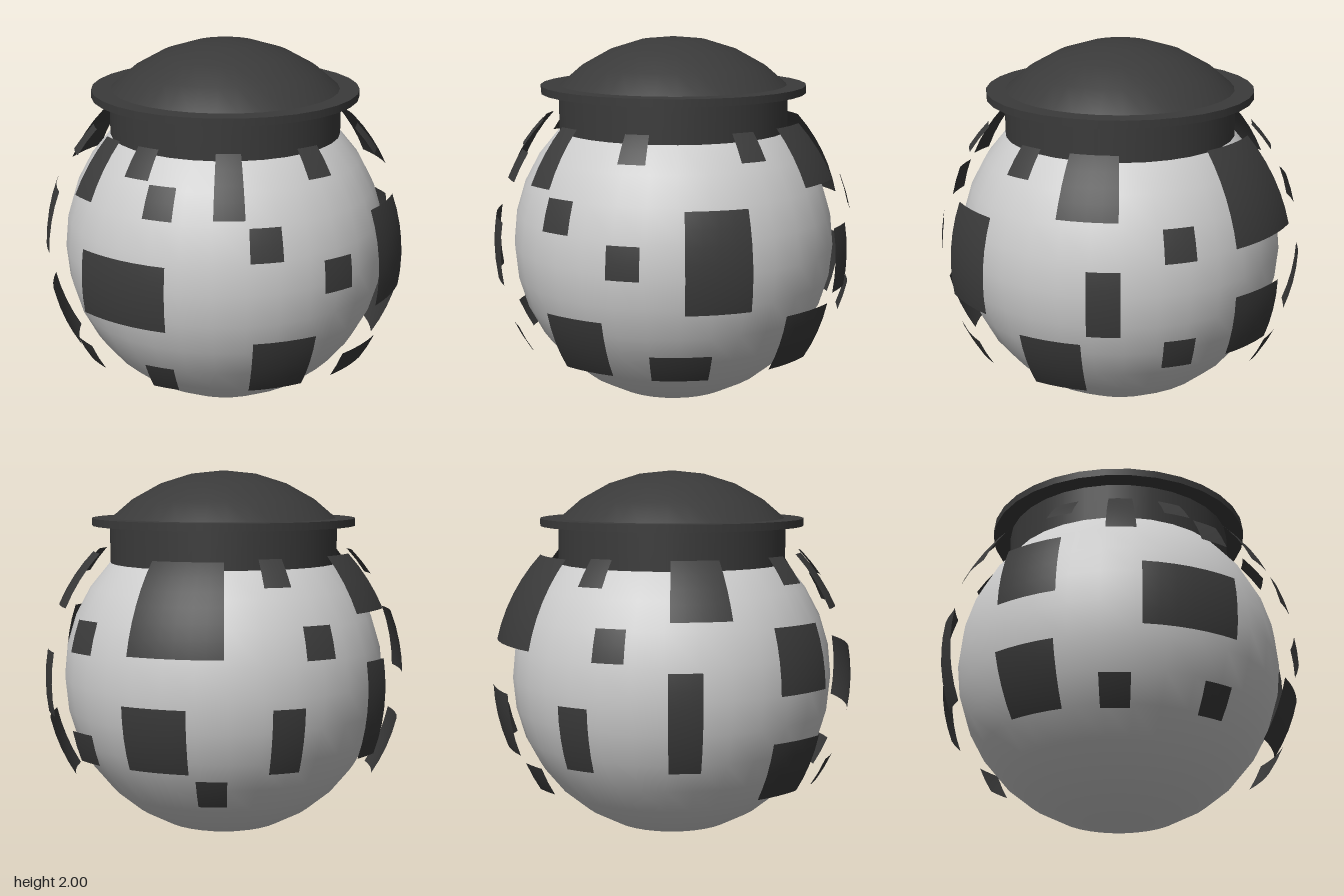
import * as THREE from 'three';

const RAD = Math.PI / 180;
const CENTER_Y = 0.882, BODY_R = 0.878, PATCH_R = 0.985;

// Floating patches: [longitude start, end, latitude top, bottom] in degrees;
// longitude runs from the front (+z) towards +x.
const PATCHES = [
  // front
  [-66, -36, 10, -10], [-22, -12, 44, 24], [-56, -46, 44, 34], [-45, -35, 33, 23],
  [-11, -1, 21.8, 11.8], [12, 22, 10.4, 0.4], [35, 55, 20.5, -9.6], [-10, 10, -13, -33],
  [24, 44, -23.8, -33.8], [-45, -35, -23.8, -33.8], [12, 22, 44, 34], [56, 66, 44, 34],
  // +x side
  [113, 123, 21.8, 11.8], [113, 123, -12.2, -22.2], [90, 100, 10, -10],
  [68, 88, -13, -33], [79.5, 99.5, 44, 24],
  // back
  [137, 167, 43, 12.8], [136, 156, -1.6, -21.6], [158, 168, -23.8, -33.8],
  [181, 191, -1.6, -21.6], [192, 202, 21.8, 11.8], [181, 191, 44, 34],
  // -x side
  [215.5, 235.5, 44, 24], [215, 225, 9.5, -20.5], [249.5, 269, 21.2, 1.2],
  [260, 270, 44, 34], [283, 293, 44, 24], [248, 268, -13, -33], [281, 291, -23.8, -33.8],
];

export function createModel() {
  const model = new THREE.Group();
  model.name = 'lampPot';
  const grey = new THREE.MeshStandardMaterial({ color: 0xcccccc });
  const dark = new THREE.MeshStandardMaterial({ color: 0x3a3a3a });
  const darkThin = new THREE.MeshStandardMaterial({ color: 0x3a3a3a, side: THREE.DoubleSide });

  const add = (parent, name, geometry, material, y) => {
    const mesh = new THREE.Mesh(geometry, material);
    mesh.name = name;
    mesh.position.y = y;
    parent.add(mesh);
    return mesh;
  };

  // Round body
  add(model, 'body', new THREE.SphereGeometry(BODY_R, 32, 16), grey, CENTER_Y);

  // Thin curved patches hovering around the body
  const patches = new THREE.Group();
  patches.name = 'patches';
  model.add(patches);
  for (const [lon0, lon1, top, bottom] of PATCHES) {
    const across = Math.max(2, Math.round((lon1 - lon0) / 5));
    const down = Math.max(2, Math.round((top - bottom) / 5));
    const shell = new THREE.SphereGeometry(PATCH_R, across, down,
      (lon0 + 90) * RAD, (lon1 - lon0) * RAD, (90 - top) * RAD, (top - bottom) * RAD);
    add(patches, 'patch', shell, darkThin, CENTER_Y);
  }

  // Lid: collar, brim and shallow dome
  const lid = new THREE.Group();
  lid.name = 'lid';
  model.add(lid);
  add(lid, 'collar', new THREE.CylinderGeometry(0.62, 0.62, 0.22, 32), dark, 1.61);
  add(lid, 'brim', new THREE.CylinderGeometry(0.717, 0.717, 0.04, 32), dark, 1.725);
  const domeR = 0.87;
  add(lid, 'dome', new THREE.SphereGeometry(domeR, 32, 4, 0, Math.PI * 2, 0, Math.asin(0.63 / domeR)),
    dark, 2 - domeR);

  model.position.set(-0.002, 0, 0.01);
  const root = new THREE.Group();
  root.name = 'model';
  root.add(model);
  return root;
}
